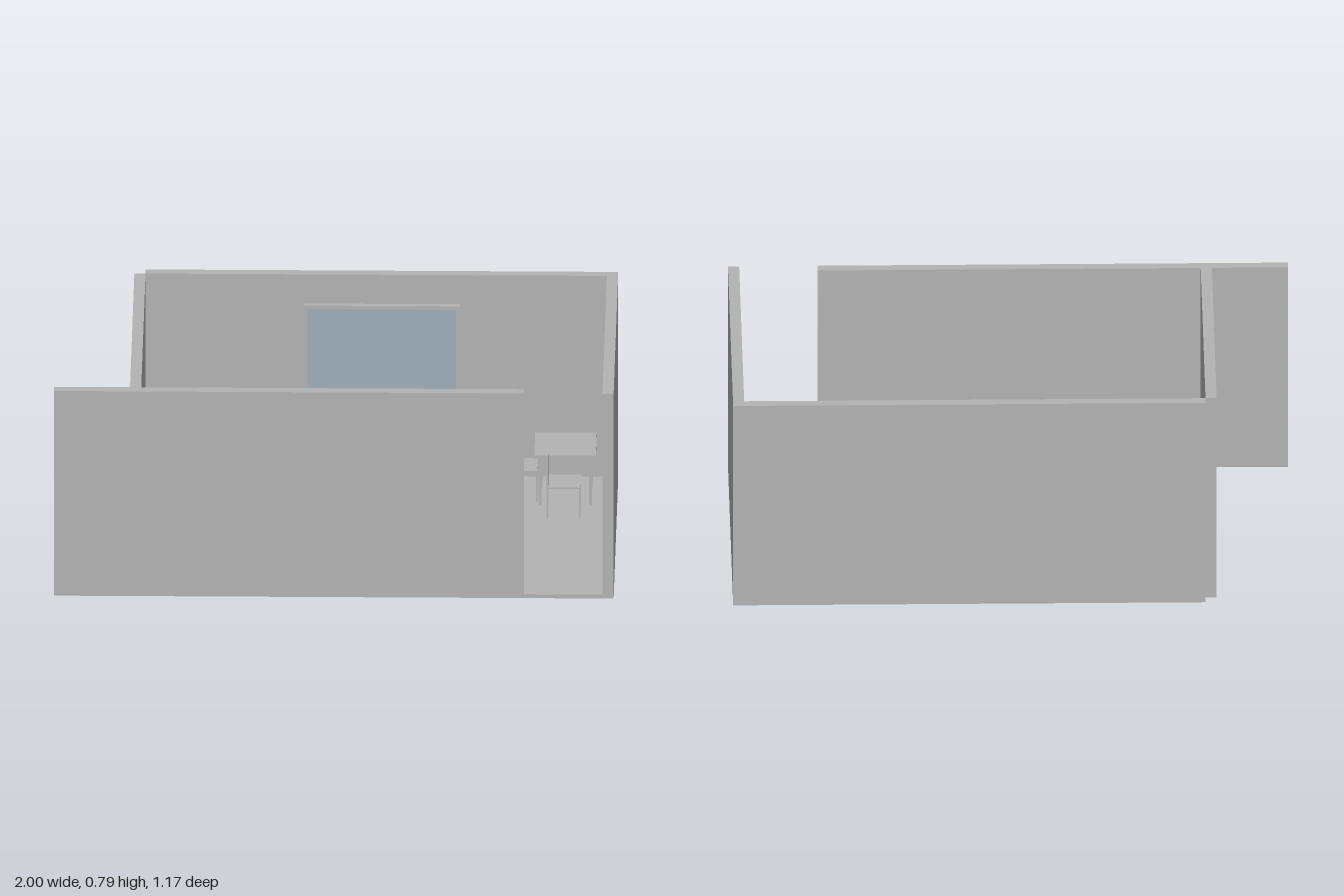
import * as THREE from 'three';

const plaster = new THREE.MeshStandardMaterial({ color: 0xb3b3b3 });
plaster.name = 'plaster grey';
const glass = new THREE.MeshStandardMaterial({ color: 0xa0aeb9 });
glass.name = 'glass blue grey';

// Box given by its two extreme values on each axis
function box(parent, name, [x0, x1], [y0, y1], [z0, z1], material = plaster) {
  const mesh = new THREE.Mesh(new THREE.BoxGeometry(x1 - x0, y1 - y0, z1 - z0), material);
  mesh.position.set((x0 + x1) / 2, (y0 + y1) / 2, (z0 + z1) / 2);
  mesh.name = name;
  parent.add(mesh);
  return mesh;
}

function group(parent, name) {
  const g = new THREE.Group();
  g.name = name;
  parent.add(g);
  return g;
}

const FLOOR = 0.015;
const HEIGHT = 0.788;

function addRoom(parent) {
  const room = group(parent, 'room');
  const wallY = [0, HEIGHT];
  box(room, 'floor', [-0.688, 0.96], [0, FLOOR], [-0.544, 0.543]);
  box(room, 'doorSill', [0.68, 0.96], [0, FLOOR], [0.543, 0.583]);
  box(room, 'frontWall', [-1, 0.68], wallY, [0.543, 0.583]);
  box(room, 'backWall', [-0.688, 0.96], wallY, [-0.583, -0.544]);
  box(room, 'sideWall', [0.96, 1], wallY, [-0.583, 0.583]);
  box(room, 'innerSideWall', [-0.728, -0.688], wallY, [-0.544, 0.543]);
}

// Framed window standing out from the back wall
function addWindow(parent) {
  const win = group(parent, 'window');
  const [x0, x1, y0, y1, t] = [-0.123, 0.435, 0.26, 0.676, 0.014];
  const z = [-0.544, -0.524];
  box(win, 'frameBottom', [x0, x1], [y0, y0 + t], z);
  box(win, 'frameTop', [x0, x1], [y1 - t, y1], z);
  box(win, 'frameLeft', [x1 - t, x1], [y0 + t, y1 - t], z);
  box(win, 'frameRight', [x0, x0 + t], [y0 + t, y1 - t], z);
  box(win, 'pane', [x0 + t, x1 - t], [y0 + t, y1 - t], [-0.544, -0.536], glass);
}

function addBed(parent) {
  const bed = group(parent, 'bed');
  box(bed, 'mattress', [-0.61, -0.23], [FLOOR, 0.13], [-0.045, 0.492]);
  box(bed, 'headboard', [-0.616, -0.224], [FLOOR, 0.25], [0.492, 0.507]);
}

function addTable(parent) {
  const table = group(parent, 'table');
  box(table, 'tableTop', [0.705, 0.925], [0.201, 0.214], [-0.47, -0.25]);
  for (const x of [0.72, 0.9])
    for (const z of [-0.455, -0.275])
      box(table, 'tableLeg', [x, x + 0.011], [FLOOR, 0.201], [z, z + 0.011]);
}

// Chair with a thin upright back on its -x edge
function addChair(parent, x, z) {
  const chair = group(parent, 'chair');
  const [w, d, leg] = [0.122, 0.125, 0.006];
  box(chair, 'chairBack', [x, x + leg], [0.136, 0.255], [z, z + d]);
  box(chair, 'seat', [x, x + w], [0.13, 0.136], [z, z + d]);
  for (const lx of [x, x + w - leg])
    for (const lz of [z, z + d - leg])
      box(chair, 'chairLeg', [lx, lx + leg], [FLOOR, 0.13], [lz, lz + leg]);
}

export function createModel() {
  const model = new THREE.Group();
  model.name = 'furnishedRoom';
  addRoom(model);
  addWindow(model);
  addBed(model);
  addTable(model);
  addChair(model, 0.594, -0.418);
  addChair(model, 0.75, -0.264);
  return model;
}
